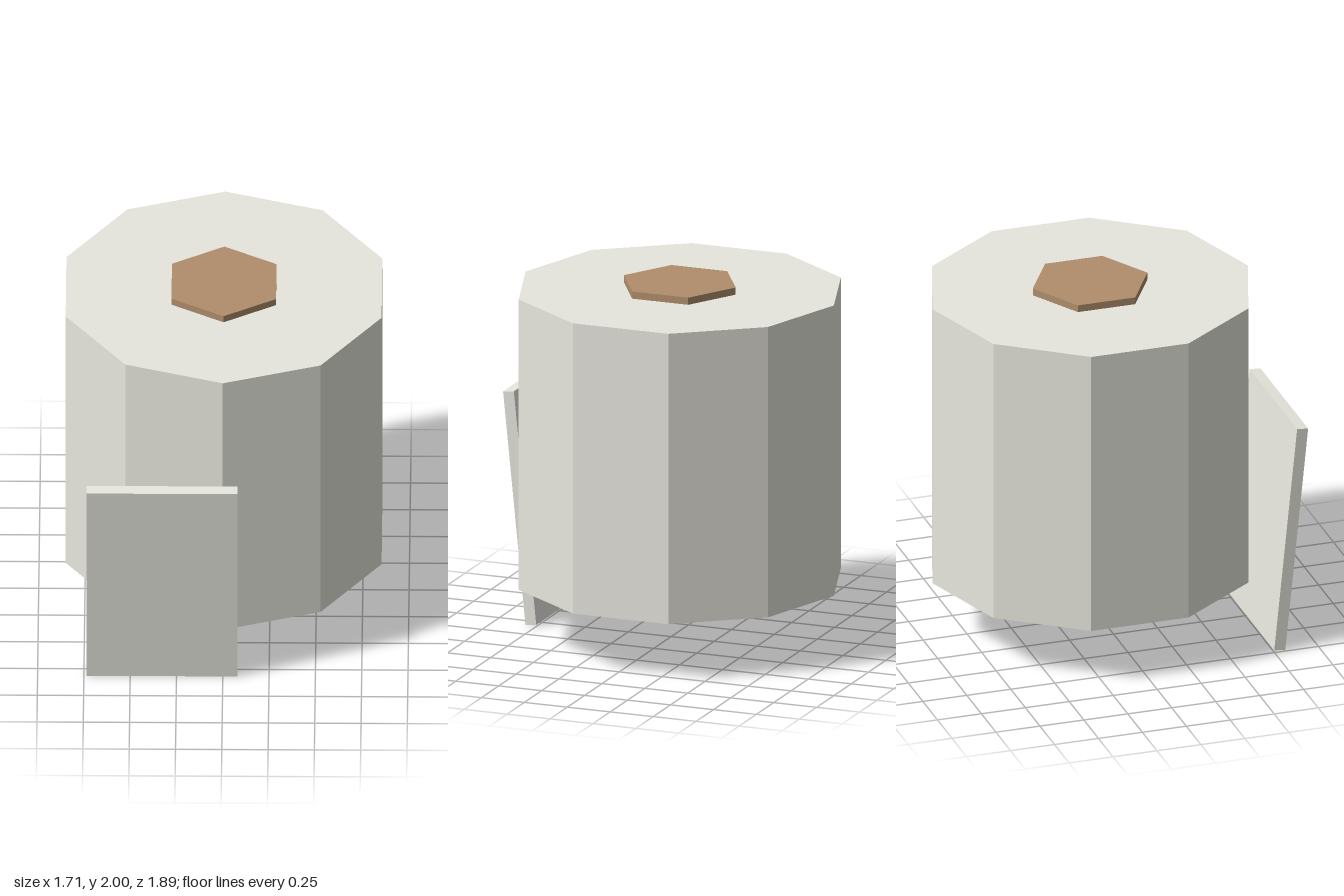
import * as THREE from 'three';

export function createModel() {
  const model = new THREE.Group();
  const paper = new THREE.MeshStandardMaterial({ name: 'paperWhite', color: 0xf0efe6, flatShading: true });
  const card = new THREE.MeshStandardMaterial({ name: 'cardboardBrown', color: 0xb08e6c, flatShading: true });
  const axisZ = -0.05;

  // Upright prism with a corner facing the front
  function prism(name, radius, bottom, top, sides, material) {
    const mesh = new THREE.Mesh(new THREE.CylinderGeometry(radius, radius, top - bottom, sides), material);
    mesh.name = name;
    mesh.position.set(0, (bottom + top) / 2, axisZ);
    model.add(mesh);
  }

  // Ten-sided paper roll with a six-sided core poking out at both ends
  prism('paperRoll', 0.897, 0.33, 1.96, 10, paper);
  prism('cardboardCore', 0.326, 0.29, 2.0, 6, card);

  // Loose sheet hanging in front, its top leaning forward
  const sheet = new THREE.Mesh(new THREE.BoxGeometry(0.815, 1.304, 0.063), paper);
  sheet.name = 'looseSheet';
  sheet.position.set(-0.328, 0.652, 0.85);
  sheet.rotation.x = 0.1;
  model.add(sheet);

  return model;
}
